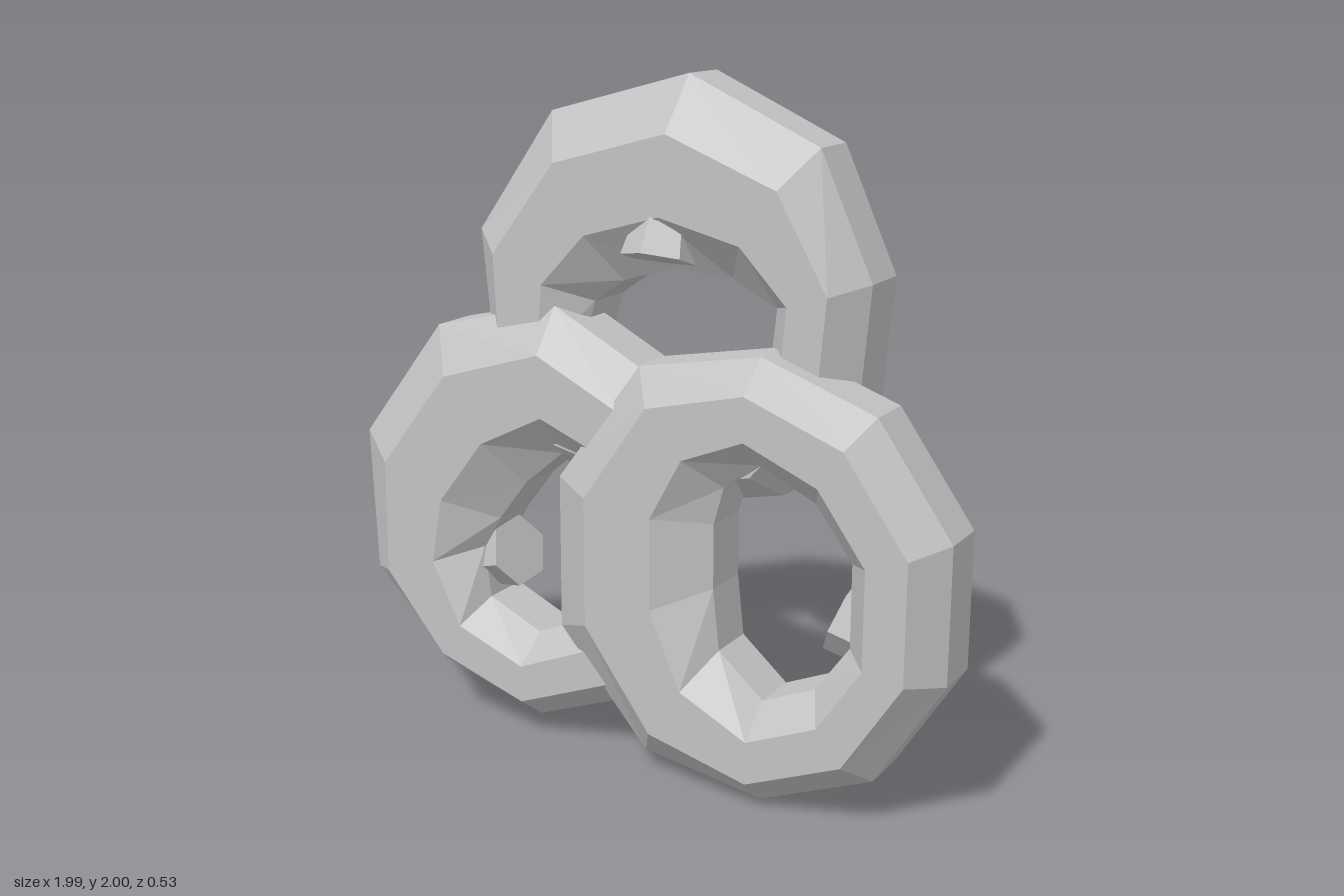
import * as THREE from 'three';

const grey = new THREE.MeshStandardMaterial({ color: 0xc2c2c2, flatShading: true });
grey.name = 'plain grey';

// Octagonal tube section: [share of the way from rim to hole, share of half depth]
const SECTION = [[0, 0.42], [0.29, 1], [0.71, 1], [1, 0.42], [1, -0.42], [0.71, -1], [0.29, -1], [0, -0.42]];

// Faceted ring spanned between a rim loop and a hole loop (counter-clockwise from the front)
function makeRing(name, { rim, hole, z, depth }) {
  const n = rim.length, m = SECTION.length, pos = [], index = [];
  rim.forEach(([x, y], i) => {
    for (const [u, w] of SECTION) {
      pos.push(x + (hole[i][0] - x) * u, y + (hole[i][1] - y) * u, z + w * depth);
    }
  });
  for (let i = 0; i < n; i++) {
    for (let j = 0; j < m; j++) {
      const i2 = (i + 1) % n, j2 = (j + 1) % m;
      const a = i * m + j, b = i2 * m + j, c = i2 * m + j2, d = i * m + j2;
      index.push(a, b, d, b, c, d);
    }
  }
  const geo = new THREE.BufferGeometry();
  geo.setAttribute('position', new THREE.Float32BufferAttribute(pos, 3));
  geo.setIndex(index);
  geo.computeVertexNormals();
  const mesh = new THREE.Mesh(geo, grey);
  mesh.name = name;
  return mesh;
}

// Flared six-sided peg running from its root in a ring to its free tip
function makePeg(name, root, tip, rootRadius, tipRadius) {
  const a = new THREE.Vector3(...root), b = new THREE.Vector3(...tip);
  const axis = b.clone().sub(a);
  const mesh = new THREE.Mesh(new THREE.CylinderGeometry(tipRadius, rootRadius, axis.length(), 6), grey);
  mesh.position.copy(a).add(b).multiplyScalar(0.5);
  mesh.quaternion.setFromUnitVectors(new THREE.Vector3(0, 1, 0), axis.normalize());
  mesh.name = name;
  return mesh;
}

export function createModel() {
  const group = new THREE.Group();
  group.name = 'threeRings';

  // Rings: the hole sits off centre, so one side of each ring is thicker
  group.add(makeRing('topRing', {
    rim: [[0.11, 2], [-0.34, 1.88], [-0.6, 1.52], [-0.56, 1.11], [-0.33, 0.85],
      [0.05, 0.77], [0.42, 0.85], [0.64, 1.12], [0.67, 1.47], [0.51, 1.82]],
    hole: [[0.06, 1.46], [-0.1, 1.41], [-0.2, 1.34], [-0.24, 1.2], [-0.15, 1.09],
      [0.05, 1.04], [0.24, 1.09], [0.37, 1.2], [0.39, 1.38], [0.25, 1.45]],
    z: -0.085, depth: 0.185,
  }));
  group.add(makeRing('rightRing', {
    rim: [[-0.29, 1.33], [-0.71, 1.23], [-1, 0.86], [-0.98, 0.41], [-0.7, 0.14],
      [-0.36, 0.04], [0, 0.18], [0.21, 0.47], [0.22, 0.88], [0.04, 1.16]],
    hole: [[-0.27, 0.89], [-0.4, 0.78], [-0.5, 0.65], [-0.56, 0.55], [-0.54, 0.39],
      [-0.36, 0.31], [-0.16, 0.4], [-0.07, 0.57], [-0.07, 0.76], [-0.15, 0.86]],
    z: -0.005, depth: 0.18,
  }));
  group.add(makeRing('leftRing', {
    rim: [[0.43, 1.28], [0.05, 1.21], [-0.22, 0.85], [-0.22, 0.39], [0.07, 0.06],
      [0.45, 0], [0.79, 0.14], [0.99, 0.46], [0.99, 0.85], [0.77, 1.16]],
    hole: [[0.43, 0.98], [0.32, 0.9], [0.29, 0.79], [0.29, 0.6], [0.31, 0.42],
      [0.45, 0.3], [0.61, 0.37], [0.71, 0.51], [0.71, 0.75], [0.6, 0.9]],
    z: 0.085, depth: 0.175,
  }));

  // Pegs
  group.add(makePeg('topPeg', [0.05, 1.7, -0.02], [0.05, 1.49, 0.05], 0.065, 0.11));
  group.add(makePeg('rightPeg', [-0.68, 0.46, -0.04], [-0.48, 0.53, 0.0], 0.08, 0.11));
  group.add(makePeg('leftPeg', [0.87, 0.42, -0.06], [0.6, 0.53, -0.02], 0.08, 0.11));

  return group;
}
